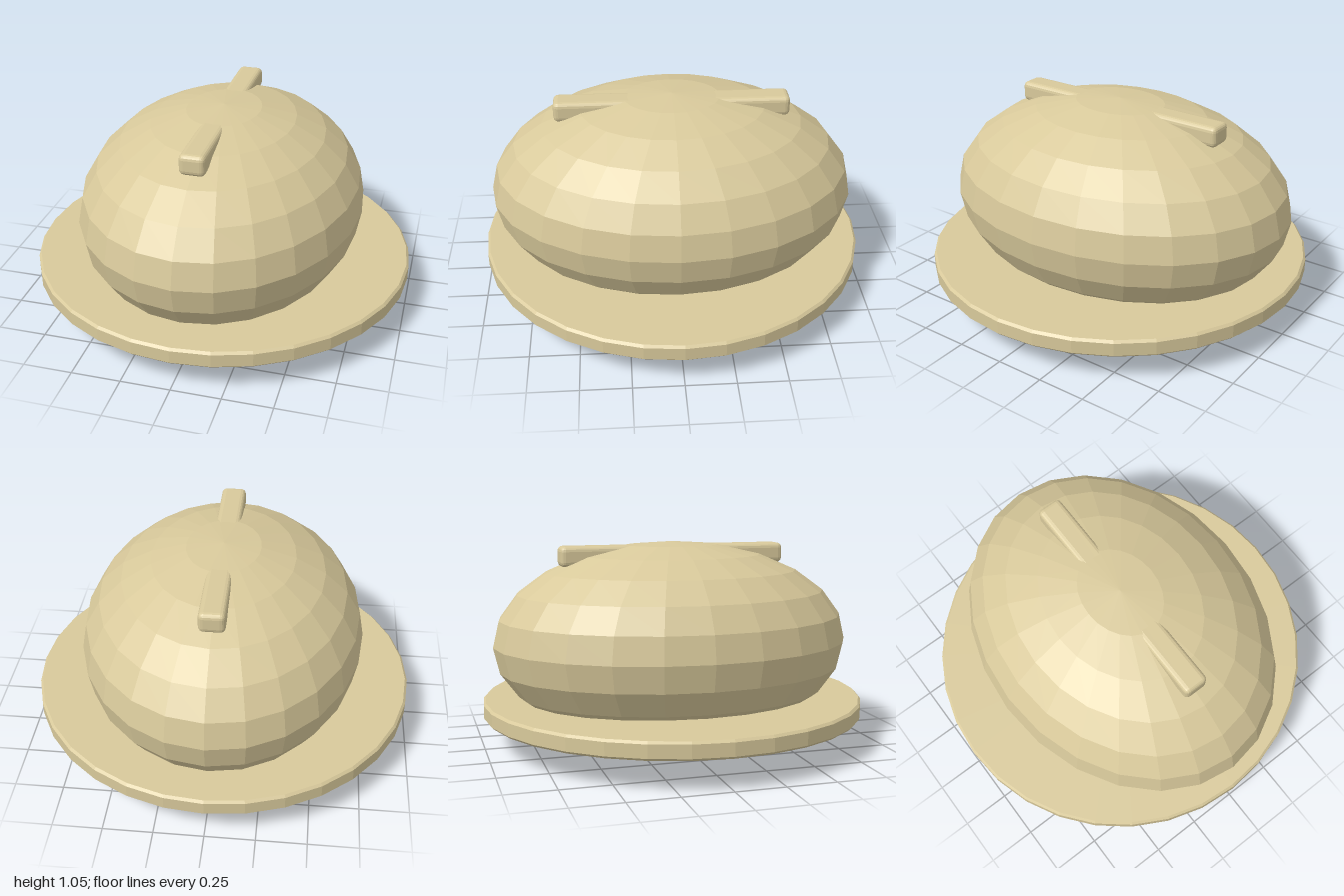
import * as THREE from 'three';
import { RoundedBoxGeometry } from 'three/addons/geometries/RoundedBoxGeometry.js';

export function createModel() {
  const group = new THREE.Group();
  const sand = new THREE.MeshStandardMaterial({ color: 0xd8c99b });
  sand.name = 'sand';
  sand.flatShading = true;

  const add = (name, geometry, y) => {
    const mesh = new THREE.Mesh(geometry, sand);
    mesh.name = name;
    mesh.position.y = y;
    group.add(mesh);
    return mesh;
  };

  // Faceted oval body that pokes through the plate
  const body = new THREE.SphereGeometry(1, 24, 12);
  body.scale(0.735, 0.525, 0.945);
  add('body', body, 0.527);

  // Round plate with a narrow bevel on both rims
  const bottom = 0.152, top = 0.242, bevel = 0.012;
  const profile = [
    [0, bottom], [1 - bevel, bottom], [1, bottom + bevel],
    [1, top - bevel], [1 - bevel, top], [0, top],
  ].map(([r, y]) => new THREE.Vector2(r, y));
  add('plate', new THREE.LatheGeometry(profile, 32), 0);

  // Long rounded bar through the crown, showing at front and back
  add('handleBar', new RoundedBoxGeometry(0.13, 0.105, 1.2, 2, 0.026), 0.983);

  return group;
}
